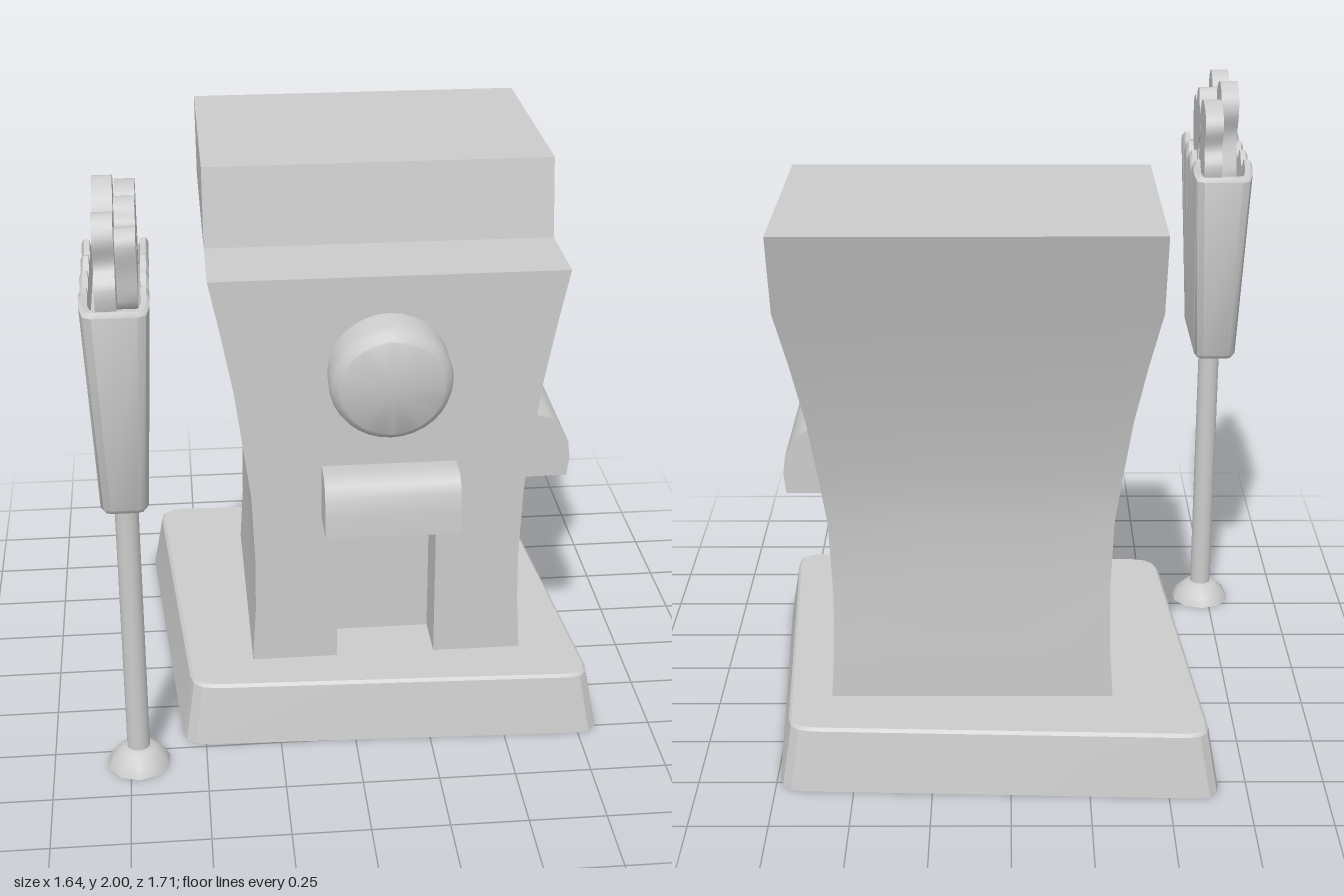
import * as THREE from 'three';
import { toCreasedNormals } from 'three/addons/utils/BufferGeometryUtils.js';

const solid = new THREE.MeshStandardMaterial({ color: 0xcccccc });
const shell = new THREE.MeshStandardMaterial({ color: 0xcccccc, side: THREE.DoubleSide });
const CX = 0.125; // middle of the building in x

// Building cross-sections: height, half width, back z
const LEVELS = [
  [0.212, 0.455, -0.57], [0.4, 0.443, -0.57], [0.575, 0.44, -0.567], [0.83, 0.45, -0.57],
  [1.0, 0.472, -0.598], [1.2, 0.498, -0.645], [1.4, 0.535, -0.7], [1.585, 0.573, -0.76], [1.845, 0.573, -0.85],
];
const FRONT = 0.31, LEDGE = 0.01, CROWN = -0.035;

// Surface builder: quads are counter-clockwise seen from outside
function surface() {
  const pos = [];
  const tri = (a, b, c) => {
    const n = b.clone().sub(a).cross(c.clone().sub(a));
    if (n.lengthSq() > 1e-14) for (const p of [a, b, c]) pos.push(p.x, p.y, p.z);
  };
  const quad = (a, b, c, d) => { tri(a, b, c); tri(a, c, d); };
  return {
    quad,
    grid(rows, skip = () => false) {
      for (let i = 0; i + 1 < rows.length; i++)
        for (let j = 0; j + 1 < rows[i].length; j++)
          if (!skip(i, j)) quad(rows[i][j], rows[i][j + 1], rows[i + 1][j + 1], rows[i + 1][j]);
    },
    // Pocket running from an outer opening to an inner back panel
    recess(o, n) {
      for (let k = 0; k < 4; k++) quad(o[k], o[(k + 1) % 4], n[(k + 1) % 4], n[k]);
      quad(...n);
    },
    geometry(crease = 0.6) {
      const g = new THREE.BufferGeometry();
      g.setAttribute('position', new THREE.Float32BufferAttribute(pos, 3));
      return toCreasedNormals(g, crease);
    },
  };
}

const V = (x, y, z) => new THREE.Vector3(x, y, z);

function add(parent, name, geometry, material = solid) {
  const mesh = new THREE.Mesh(geometry, material);
  mesh.name = name;
  parent.add(mesh);
  return mesh;
}

function extrude(shape, depth, crease = 0.6) {
  return toCreasedNormals(new THREE.ExtrudeGeometry(shape, { depth, bevelEnabled: false, curveSegments: 8 }), crease);
}

const polygon = (pts) => new THREE.Shape(pts.map(([x, y]) => new THREE.Vector2(x, y)));

function buildingGeometry() {
  const s = surface();
  const doorL = -0.045, doorR = 0.285, winF = 0.22, winB = -0.3;

  // Front, ledge, crown, roof and back as one wrapped strip
  const row = (y, h, z) => [CX - h, doorL, doorR, CX + h].map((x) => V(x, y, z));
  const lower = LEVELS.slice(0, -1), top = LEVELS[LEVELS.length - 1];
  const wrap = lower.map(([y, h]) => row(y, h, FRONT));
  wrap.push(row(1.585, top[1], LEDGE), row(top[0], top[1], CROWN));
  for (const [y, h, b] of [...LEVELS].reverse()) wrap.push(row(y, h, b));
  s.grid(wrap, (i, j) => i < 3 && j === 1);

  // Side walls, with the window opening on the +x side
  const right = lower.map(([y, h, b]) => [FRONT, winF, winB, b].map((z) => V(CX + h, y, z)));
  const upper = [[1.585, LEDGE, -0.76], [1.845, CROWN, -0.85]]
    .map(([y, f, b]) => [f, -0.1, -0.3, b].map((z) => V(CX + top[1], y, z)));
  const mirror = (rows) => rows.map((r) => r.map((p) => V(2 * CX - p.x, p.y, p.z)).reverse());
  s.grid(right, (i, j) => i === 2 && j === 1);
  s.grid(mirror(right));
  s.grid(upper);
  s.grid(mirror(upper));

  // Doorway and window pockets
  const door = (z) => [V(doorL, 0.212, z), V(doorR, 0.212, z), V(doorR, 0.83, z), V(doorL, 0.83, z)];
  s.recess(door(FRONT), door(0.14));
  s.recess(
    [V(0.565, 0.575, winF), V(0.565, 0.575, winB), V(0.575, 0.83, winB), V(0.575, 0.83, winF)],
    [V(0.42, 0.645, 0.13), V(0.42, 0.645, -0.235), V(0.42, 0.83, -0.235), V(0.42, 0.83, 0.13)],
  );
  return s.geometry(0.4);
}

// Slightly skewed plinth with rounded corners, open underneath
function plinthGeometry() {
  const corners = [V(-0.57, 0, 0.485), V(0.825, 0, 0.54), V(0.735, 0, -0.8), V(-0.665, 0, -0.85)];
  const centre = V(0.08, 0, -0.155);
  const loop = [];
  corners.forEach((c, k) => {
    const toward = (q) => c.clone().add(q.clone().sub(c).setLength(0.08));
    const a = toward(corners[(k + 3) % 4]), b = toward(corners[(k + 1) % 4]);
    loop.push(...new THREE.QuadraticBezierCurve3(a, c, b).getPoints(3));
  });
  loop.push(loop[0]);
  const ring = (k, y) => loop.map((p) => centre.clone().lerp(p, k).setY(y));
  const s = surface();
  s.grid([ring(1, 0), ring(0.953, 0.2), ring(0.94, 0.21), ring(0, 0.21)]);
  return s.geometry(0.5);
}

// Tapered carton with a scalloped rim
function cartonGeometry() {
  const ring = (hx, hz, r, y) => {
    const pts = [];
    const corner = (sx, sz, a0) => {
      for (let k = 0; k <= 2; k++) {
        const a = a0 + (k * Math.PI) / 4;
        pts.push([sx * (hx - r) + r * Math.cos(a), sz * (hz - r) - r * Math.sin(a)]);
      }
    };
    const side = (sx) => {
      for (let k = 1; k < 24; k++) pts.push([sx * hx, sx * (hz - r) * (1 - k / 12)]);
    };
    corner(-1, 1, Math.PI);
    corner(1, 1, -Math.PI / 2);
    side(1);
    corner(1, -1, 0);
    corner(-1, -1, Math.PI / 2);
    side(-1);
    pts.push(pts[0]);
    return pts.map(([x, z]) => V(x - 0.722, typeof y === 'function' ? y(z / hz) : y, z + 0.568));
  };
  const wave = (t) => 1.737 - 0.022 * Math.cos(4 * Math.PI * t);
  const s = surface();
  s.grid([
    ring(0, 0, 0, 1.04), ring(0.06, 0.21, 0.02, 1.04), ring(0.072, 0.222, 0.03, 1.055),
    ring(0.1, 0.288, 0.035, (t) => wave(t) - 0.015), ring(0.092, 0.28, 0.03, wave),
    ring(0.075, 0.262, 0.02, wave), ring(0.07, 0.258, 0.02, 1.66), ring(0, 0, 0, 1.66),
  ]);
  return s.geometry(0.6);
}

// Knobbly pieces in the carton: right-hand x of the slab and its outline in (z, y)
const PIECES = [
  [-0.715, [[0.81, 1.66], [0.85, 1.78], [0.81, 1.84], [0.83, 1.92], [0.79, 1.98], [0.73, 1.97], [0.7, 1.92], [0.72, 1.85], [0.69, 1.78], [0.71, 1.66]]],
  [-0.718, [[0.59, 1.66], [0.61, 1.86], [0.57, 1.96], [0.5, 2.0], [0.43, 1.97], [0.41, 1.91], [0.44, 1.82], [0.42, 1.66]]],
  [-0.655, [[0.69, 1.66], [0.72, 1.78], [0.74, 1.88], [0.7, 1.91], [0.64, 1.9], [0.61, 1.95], [0.56, 1.96], [0.53, 1.91], [0.48, 1.89], [0.475, 1.83], [0.53, 1.77], [0.5, 1.66]]],
  [-0.655, [[0.45, 1.66], [0.49, 1.76], [0.46, 1.84], [0.48, 1.91], [0.44, 1.95], [0.32, 1.93], [0.29, 1.88], [0.31, 1.81], [0.285, 1.75], [0.32, 1.66]]],
];

export function createModel() {
  const model = new THREE.Group();
  model.name = 'snackStand';

  add(model, 'plinth', plinthGeometry(), shell);
  add(model, 'building', buildingGeometry(), shell);

  // Round sign above the door, tipped slightly downward
  const disc = new THREE.LatheGeometry(
    [[0.197, -0.06], [0.198, 0.06], [0.19, 0.085], [0.17, 0.105], [0.165, 0.108], [0, 0.108]]
      .map(([r, y]) => new THREE.Vector2(r, y)), 32);
  const roundSign = add(model, 'roundSign', toCreasedNormals(disc.rotateX(Math.PI / 2), 0.6));
  roundSign.position.set(0.122, 1.262, 0.322);
  roundSign.rotation.x = 0.1;

  // Awning over the door
  const doorProfile = polygon([[0.28, 0.745], [0.46, 0.745], [0.457, 0.82], [0.448, 0.885], [0.43, 0.918], [0.4, 0.935], [0.36, 0.938], [0.28, 0.93]]);
  add(model, 'doorAwning', extrude(doorProfile, 0.44).rotateY(-Math.PI / 2).translate(0.345, 0, 0));

  // Awning over the window, narrowing toward its lower edge
  const windowProfile = polygon([[0.55, 0.83], [0.728, 0.83], [0.735, 0.9], [0.727, 0.96], [0.7, 1.02], [0.66, 1.052], [0.61, 1.066], [0.55, 1.066]]);
  const awning = extrude(windowProfile, 0.62).translate(0, 0, -0.31);
  const p = awning.attributes.position;
  for (let i = 0; i < p.count; i++) p.setZ(i, p.getZ(i) * (1 - (1.066 - p.getY(i)) * 0.25));
  add(model, 'windowAwning', awning.translate(0, 0, -0.045));

  // Free-standing pole sign
  const poleSign = new THREE.Group();
  poleSign.name = 'poleSign';
  model.add(poleSign);
  const foot = new THREE.LatheGeometry(
    [[0.105, 0], [0.088, 0.035], [0.06, 0.06], [0.035, 0.07]].map(([r, y]) => new THREE.Vector2(r, y)), 10);
  add(poleSign, 'poleFoot', foot, shell).position.set(-0.723, 0, 0.565);
  add(poleSign, 'pole', new THREE.CylinderGeometry(0.037, 0.037, 1.0, 16)).position.set(-0.723, 0.55, 0.565);
  add(poleSign, 'carton', cartonGeometry(), shell);
  for (const [x, pts] of PIECES) {
    const curve = new THREE.CatmullRomCurve3(pts.map(([z, y]) => V(z, y, 0)), true);
    const shape = new THREE.Shape(curve.getPoints(40).slice(0, -1).map((q) => new THREE.Vector2(q.x, q.y)));
    add(poleSign, 'snackPiece', extrude(shape, 0.06, 0.8).rotateY(-Math.PI / 2).translate(x, 0, 0));
  }
  return model;
}
